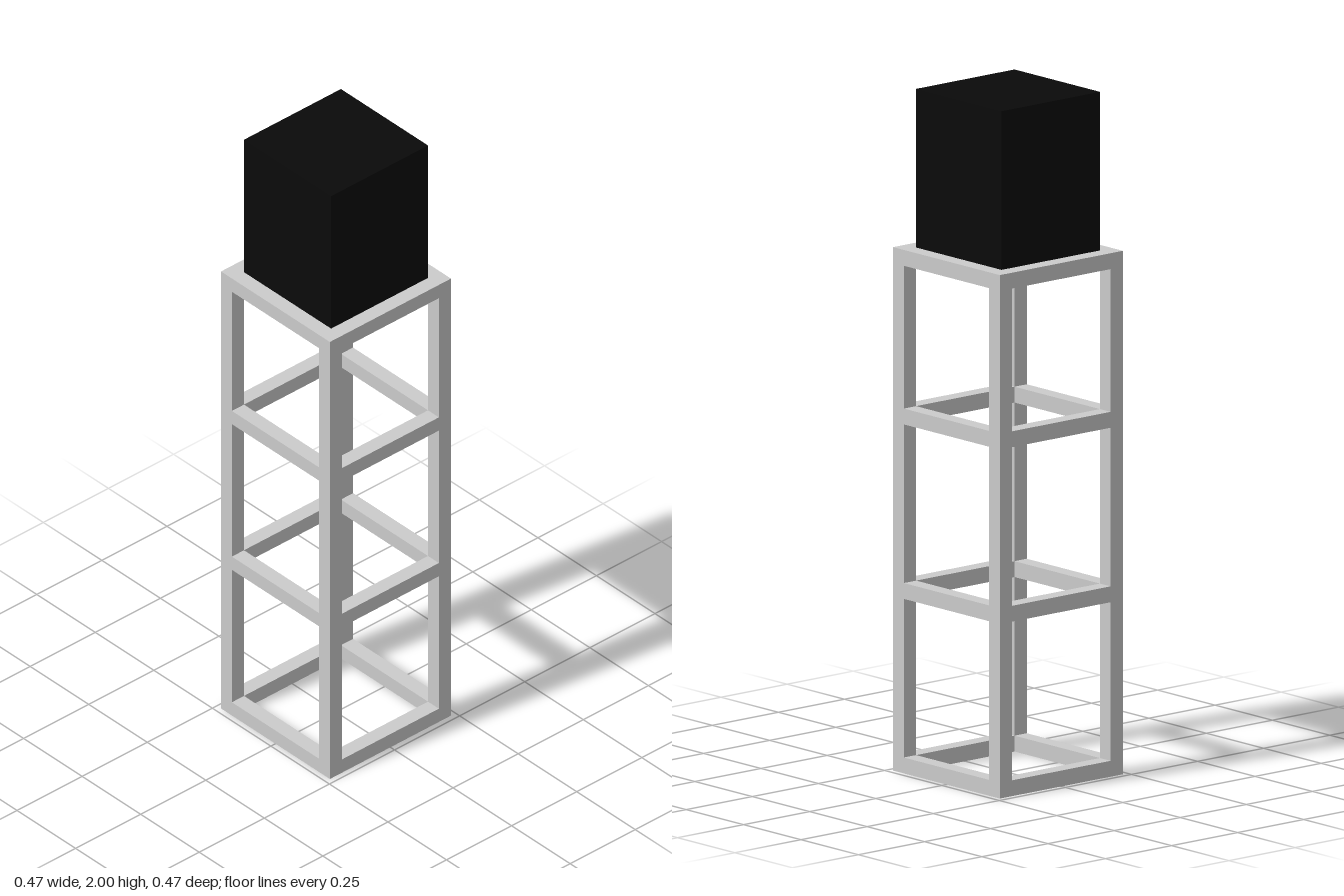
import * as THREE from 'three';

const U = 2 / 43; // bar thickness; every size is a multiple of it

export function createModel() {
  const model = new THREE.Group();
  const grey = new THREE.MeshStandardMaterial({ color: 0xcccccc });
  const black = new THREE.MeshStandardMaterial({ color: 0x0a0a0a });

  // Box given by its size and the height of its base, in bar units
  const addBox = (name, parent, material, [w, h, d], [x, base, z]) => {
    const mesh = new THREE.Mesh(new THREE.BoxGeometry(w * U, h * U, d * U), material);
    mesh.position.set(x * U, (base + h / 2) * U, z * U);
    mesh.name = name;
    parent.add(mesh);
  };

  const frame = new THREE.Group();
  frame.name = 'frame';
  model.add(frame);

  // Four corner posts
  for (const x of [-4.5, 4.5])
    for (const z of [-4.5, 4.5]) addBox('cornerPost', frame, grey, [1, 33, 1], [x, 0, z]);

  // Four levels of crossbars fitted between the posts
  for (const base of [0, 11, 22, 32])
    for (const side of [-4.5, 4.5]) {
      addBox('crossbarX', frame, grey, [8, 1, 1], [0, base, side]);
      addBox('crossbarZ', frame, grey, [1, 1, 8], [side, base, 0]);
    }

  // Black block resting on the top opening
  addBox('topBlock', model, black, [8, 10, 8], [0, 33, 0]);

  return model;
}
